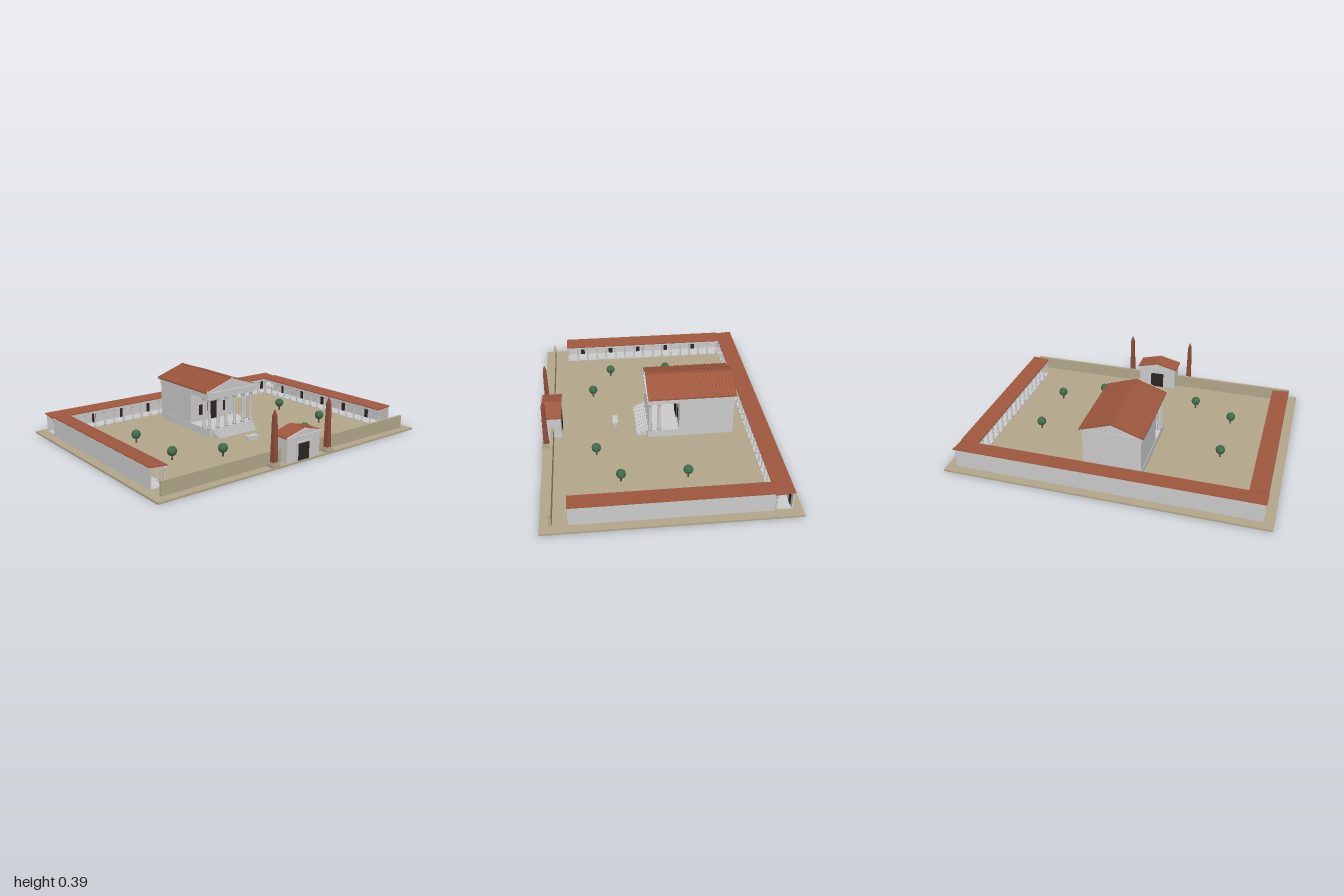
import * as THREE from 'three';

const mat = (color) => new THREE.MeshStandardMaterial({ color, flatShading: true, side: THREE.DoubleSide });
const STONE = mat(0xcccccc), SAND = mat(0xb3a78a), TILE = mat(0xa0583e), DARK = mat(0x2c2622);
const GRANITE = mat(0x8f4c3a), LEAF = mat(0x3f6b48), WOOD = mat(0x5c4530);
const ROUND = new THREE.MeshStandardMaterial({ color: 0xcccccc });
const G = 0.012; // ground level

function add(parent, name, geo, material, x = 0, y = 0, z = 0) {
  const m = new THREE.Mesh(geo, material);
  m.name = name;
  m.position.set(x, y, z);
  parent.add(m);
  return m;
}

// Box given by its min and max corners
function box(parent, name, material, x0, x1, y0, y1, z0, z1) {
  return add(parent, name, new THREE.BoxGeometry(x1 - x0, y1 - y0, z1 - z0), material,
    (x0 + x1) / 2, (y0 + y1) / 2, (z0 + z1) / 2);
}

function group(parent, name) {
  const g = new THREE.Group();
  g.name = name;
  parent.add(g);
  return g;
}

// Outline in x, y drawn out from z0 to z1
function prism(parent, name, material, pts, z0, z1) {
  const shape = new THREE.Shape(pts.map(([x, y]) => new THREE.Vector2(x, y)));
  const geo = new THREE.ExtrudeGeometry(shape, { depth: z1 - z0, bevelEnabled: false });
  return add(parent, name, geo, material, 0, 0, z0);
}

// Two sloping slabs meeting at a ridge
const chevron = (w, eave, ridge, t) => [[-w, eave - t], [0, ridge - t], [w, eave - t], [w, eave], [0, ridge], [-w, eave]];

function column(parent, x, z, y0, y1, r) {
  const h = y1 - y0;
  const profile = [[0, 0], [1.5, 0], [1.5, 0.04], [1.05, 0.07], [0.85, 0.86], [1.0, 0.9], [1.6, 0.97], [1.6, 1], [0, 1]];
  add(parent, 'column', new THREE.LatheGeometry(profile.map(([a, b]) => new THREE.Vector2(a * r, b * h)), 10), ROUND, x, y0, z);
}

function buildTemple(root) {
  const t = group(root, 'temple');
  const floor = 0.06, top = 0.26, eave = 0.305, ridge = 0.372;
  box(t, 'podium', STONE, -0.185, 0.185, G, floor, -0.49, 0.065);
  for (let i = 0; i < 5; i++) {
    box(t, 'step', STONE, -0.16, 0.16, G, G + 0.008 * (i + 1), 0.06, 0.13 - i * 0.013);
  }
  box(t, 'cella', STONE, -0.182, 0.182, floor, top, -0.49, -0.14);
  box(t, 'doorway', DARK, -0.045, 0.045, floor, 0.18, -0.141, -0.136);
  for (const x of [-0.1, 0.1]) box(t, 'niche', DARK, x - 0.016, x + 0.016, 0.1, 0.17, -0.141, -0.138);

  // Six columns across the front, one behind each corner
  for (let i = 0; i < 6; i++) column(t, -0.17 + i * 0.068, 0.045, floor, top, 0.01);
  for (const x of [-0.17, 0.17]) column(t, x, -0.012, floor, top, 0.01);

  box(t, 'architrave', STONE, -0.186, 0.186, top, 0.285, -0.49, 0.06);
  box(t, 'cornice', STONE, -0.194, 0.194, 0.285, 0.3, -0.494, 0.066);
  prism(t, 'gable', STONE, [[-0.19, 0.298], [0.19, 0.298], [0, 0.36]], -0.49, 0.05);
  prism(t, 'rakingCornice', STONE, chevron(0.2, eave, ridge, 0.011), 0.058, 0.067);
  prism(t, 'roof', TILE, chevron(0.2, eave, ridge, 0.009), -0.5, 0.06);

  // Tile ribs down both slopes
  const slope = Math.atan2(ridge - eave, 0.2), len = Math.hypot(0.2, ridge - eave);
  for (let i = 0; i <= 24; i++) {
    for (const s of [-1, 1]) {
      const rib = add(t, 'tileRib', new THREE.BoxGeometry(len, 0.005, 0.006), TILE,
        s * 0.1, (eave + ridge) / 2 + 0.001, -0.495 + i * 0.0228);
      rib.rotation.z = -s * slope;
    }
  }
  box(t, 'ridgeTile', TILE, -0.006, 0.006, 0.367, 0.376, -0.5, 0.06);

  // Pediment figures and roof ornaments
  for (const [x, h] of [[-0.09, 0.018], [-0.045, 0.028], [0, 0.042], [0.045, 0.028], [0.09, 0.018]]) {
    add(t, 'pedimentFigure', new THREE.CylinderGeometry(0.003, 0.006, h, 6), STONE, x, 0.3 + h / 2, 0.054);
  }
  for (const [x, y] of [[0, 0.38], [-0.197, 0.312], [0.197, 0.312]]) {
    add(t, 'roofOrnament', new THREE.ConeGeometry(0.006, 0.022, 6), STONE, x, y, 0.062);
  }
}

// Colonnade along local x: wall at z = 0, columns and lower roof edge at +z
function buildPortico(root, name, length, wallLength, count) {
  const p = group(root, name);
  const h = length / 2, w = wallLength / 2;
  box(p, 'rearWall', STONE, -w, w, G, 0.13, -0.004, 0.004);
  box(p, 'walkway', STONE, -w, w, G, 0.017, 0, 0.1);
  box(p, 'beam', STONE, -w, w, 0.108, 0.122, 0.083, 0.097);
  const step = (2 * w - 0.016) / (count - 1);
  for (let i = 0; i < count; i++) {
    const x = -w + 0.008 + i * step;
    column(p, x, 0.09, 0.017, 0.108, 0.0055);
    if (i % 3 === 1 && i < count - 1) {
      box(p, 'roomDoor', DARK, x + step / 2 - 0.014, x + step / 2 + 0.014, 0.017, 0.085, 0.004, 0.007);
    }
  }
  const roof = add(p, 'porticoRoof', new THREE.BoxGeometry(2 * h, 0.006, 0.112), TILE, 0, 0.132, 0.048);
  roof.rotation.x = 0.085;
  return p;
}

function buildGate(root) {
  const g = group(root, 'gatehouse');
  box(g, 'gateBody', STONE, -0.13, 0.13, G, 0.165, 0.61, 0.722);
  box(g, 'gateDoor', DARK, -0.045, 0.045, G, 0.118, 0.718, 0.725);
  box(g, 'gateRearDoor', DARK, -0.045, 0.045, G, 0.118, 0.607, 0.612);
  for (const s of [-1, 1]) {
    const x = s * 0.05;
    box(g, 'doorJamb', STONE, x - 0.005, x + 0.005, G, 0.126, 0.72, 0.728);
  }
  box(g, 'doorLintel', STONE, -0.055, 0.055, 0.118, 0.128, 0.72, 0.729);
  box(g, 'gateCornice', STONE, -0.136, 0.136, 0.155, 0.165, 0.606, 0.732);
  prism(g, 'gateGable', STONE, [[-0.13, 0.164], [0.13, 0.164], [0, 0.197]], 0.61, 0.724);
  prism(g, 'gateRakingCornice', STONE, chevron(0.14, 0.169, 0.204, 0.009), 0.728, 0.739);
  prism(g, 'gateRoof', TILE, chevron(0.14, 0.169, 0.204, 0.008), 0.603, 0.729);
  add(g, 'gateOrnament', new THREE.ConeGeometry(0.004, 0.012, 6), STONE, 0, 0.208, 0.734);
}

function buildObelisk(root, x) {
  const o = group(root, 'obelisk');
  o.position.set(x, 0, 0.707);
  box(o, 'pedestal', SAND, -0.027, 0.027, G, 0.03, -0.027, 0.027);
  box(o, 'pedestalTop', SAND, -0.021, 0.021, 0.03, 0.04, -0.021, 0.021);
  const shaft = (r0, r1, h) => new THREE.CylinderGeometry(r1 * Math.SQRT2, r0 * Math.SQRT2, h, 4);
  add(o, 'shaft', shaft(0.016, 0.011, 0.27), GRANITE, 0, 0.175, 0).rotation.y = Math.PI / 4;
  add(o, 'tip', shaft(0.011, 0.0001, 0.04), GRANITE, 0, 0.33, 0).rotation.y = Math.PI / 4;
}

function buildTree(root, x, z) {
  const t = group(root, 'tree');
  t.position.set(x, G, z);
  add(t, 'trunk', new THREE.CylinderGeometry(0.004, 0.006, 0.035, 6), WOOD, 0, 0.017, 0);
  add(t, 'crown', new THREE.IcosahedronGeometry(0.03, 1), LEAF, 0, 0.053, 0);
}

export function createModel() {
  const root = new THREE.Group();
  root.name = 'templePrecinct';

  box(root, 'ground', SAND, -1, 1, 0, G, -0.74, 0.73);
  box(root, 'frontWall', SAND, -0.945, 0.945, G, 0.094, 0.66, 0.676);

  buildTemple(root);
  buildGate(root);

  // Colonnades on three sides of the court
  buildPortico(root, 'backPortico', 1.9, 1.88, 27).position.z = -0.68;
  for (const s of [-1, 1]) {
    const side = buildPortico(root, s > 0 ? 'leftPortico' : 'rightPortico', 1.155, 1.15, 17);
    side.position.set(s * 0.94, 0, -0.003);
    side.rotation.y = -s * Math.PI / 2;
    buildObelisk(root, s * 0.213);
    for (const [x, z] of [[0.6, -0.14], [0.6, 0.26], [0.333, 0.395]]) buildTree(root, s * x, z);
  }

  // Altar in front of the temple
  const altar = group(root, 'altar');
  box(altar, 'altarBlock', STONE, -0.036, 0.036, G, 0.036, 0.248, 0.276);
  box(altar, 'altarSlab', STONE, -0.04, 0.04, 0.036, 0.042, 0.245, 0.279);

  return root;
}
